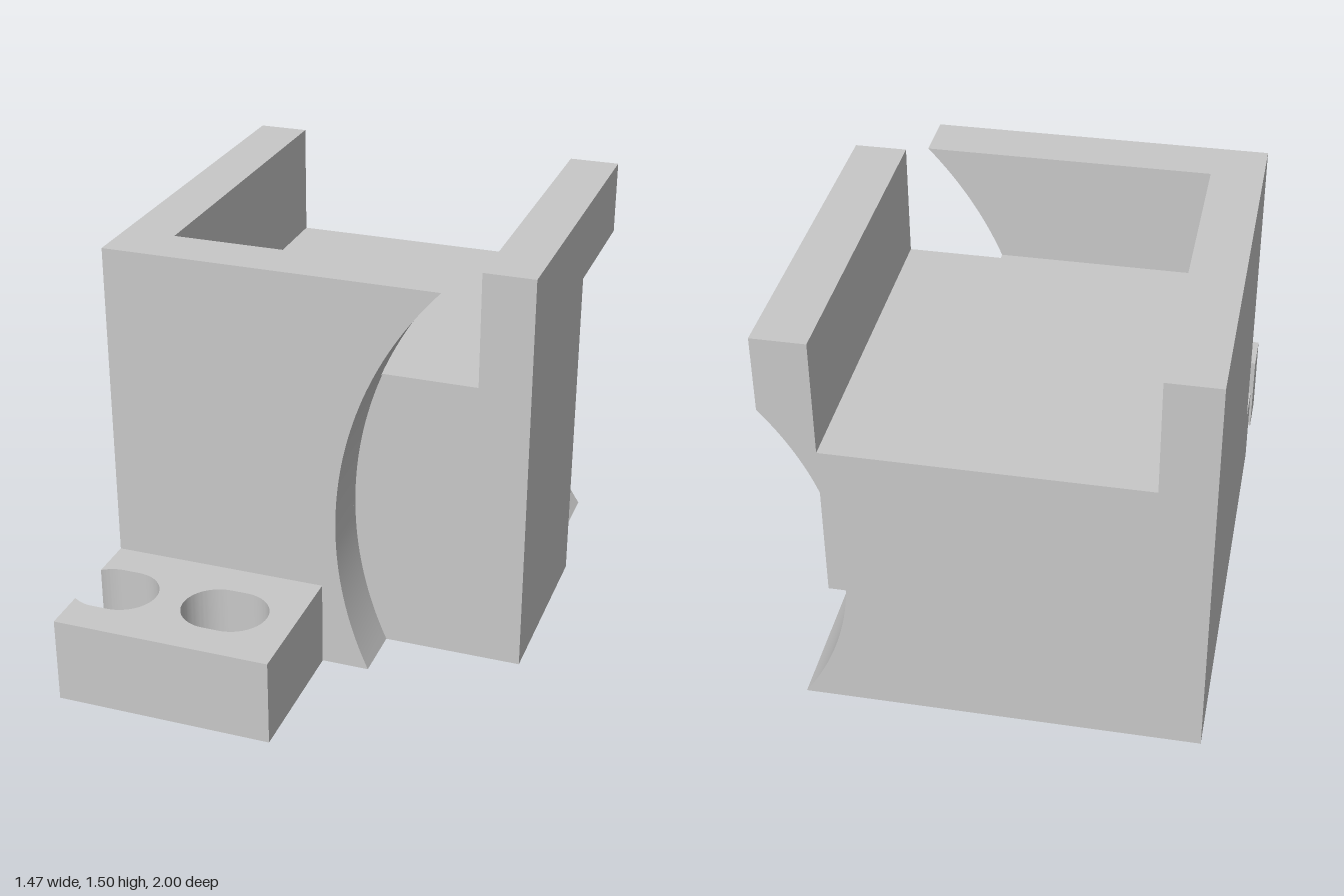
import * as THREE from 'three';
import { toCreasedNormals } from 'three/addons/utils/BufferGeometryUtils.js';

const W = 0.736;        // half width
const H = 1.5;          // block height
const IN = 0.55;        // half width of the channel
const FLOOR = 1.08;     // channel floor
const CX = 1.48, CY = 0.567; // shared axis of both round cuts
const R_FRONT = 1.373, R_BACK = 0.994;

export function createModel() {
  const group = new THREE.Group();
  const grey = new THREE.MeshStandardMaterial({ color: 0xc8c8c8 });
  grey.name = 'plain grey';

  const add = (name, shape, depth, place) => {
    const geo = new THREE.ExtrudeGeometry(shape, { depth, bevelEnabled: false, curveSegments: 24 });
    place(geo);
    const mesh = new THREE.Mesh(toCreasedNormals(geo, 0.4), grey);
    mesh.name = name;
    group.add(mesh);
  };
  // slice of the block between two z values
  const slice = (name, shape, z0, z1) => add(name, shape, z1 - z0, g => g.translate(0, 0, z0));
  const polygon = pts => new THREE.Shape(pts.map(p => new THREE.Vector2(...p)));

  // outline from the bottom left corner, along the base and up a concave edge to height y
  const concave = (r, y) => new THREE.Shape().moveTo(-W, 0).lineTo(0, 0).absarc(CX, CY, r,
    Math.PI + Math.asin(CY / r), Math.PI - Math.asin((y - CY) / r), true);
  const channel = [[IN, H], [IN, FLOOR], [-IN, FLOOR], [-IN, H], [-W, H]];

  // back of the block, right side hollowed by the small round cut
  const back = concave(R_BACK, CY + Math.sqrt(R_BACK ** 2 - (CX - W) ** 2));
  back.lineTo(W, H);
  channel.forEach(p => back.lineTo(...p));
  slice('backBlock', back, -1, -0.47);

  // middle of the block, plain U section
  slice('middleBlock', polygon([[-W, 0], [W, 0], [W, H], ...channel]), -0.47, 0.26);

  // short step where the channel floor passes the front cut
  const step = concave(R_FRONT, FLOOR);
  step.lineTo(-IN, FLOOR).lineTo(-IN, H).lineTo(-W, H);
  slice('channelEnd', step, 0.26, 0.283);

  // front wall ending in the large round cut
  const wall = concave(R_FRONT, H);
  wall.lineTo(-W, H);
  slice('frontWall', wall, 0.283, 0.472);

  // mounting foot, drawn in x and -z, with one slot and one slot open to the side
  const Z = -0.737, R = 0.128, OPEN = -0.657;
  const a = Math.acos((-W - OPEN) / R);
  const foot = polygon([[-W, -1], [0.056, -1], [0.056, -0.472], [-W, -0.472]]);
  foot.absarc(OPEN, Z, R, a, Math.PI / 2, true);
  foot.absarc(-0.598, Z, R, Math.PI / 2, -Math.PI / 2, true);
  foot.absarc(OPEN, Z, R, -Math.PI / 2, -a, true);
  const slot = new THREE.Path();
  slot.absarc(-0.178, Z, R, Math.PI / 2, -Math.PI / 2, true);
  slot.absarc(-0.237, Z, R, -Math.PI / 2, -Math.PI * 1.5, true);
  foot.holes.push(slot);
  add('mountingFoot', foot, 0.317, g => g.rotateX(-Math.PI / 2));

  return group;
}
